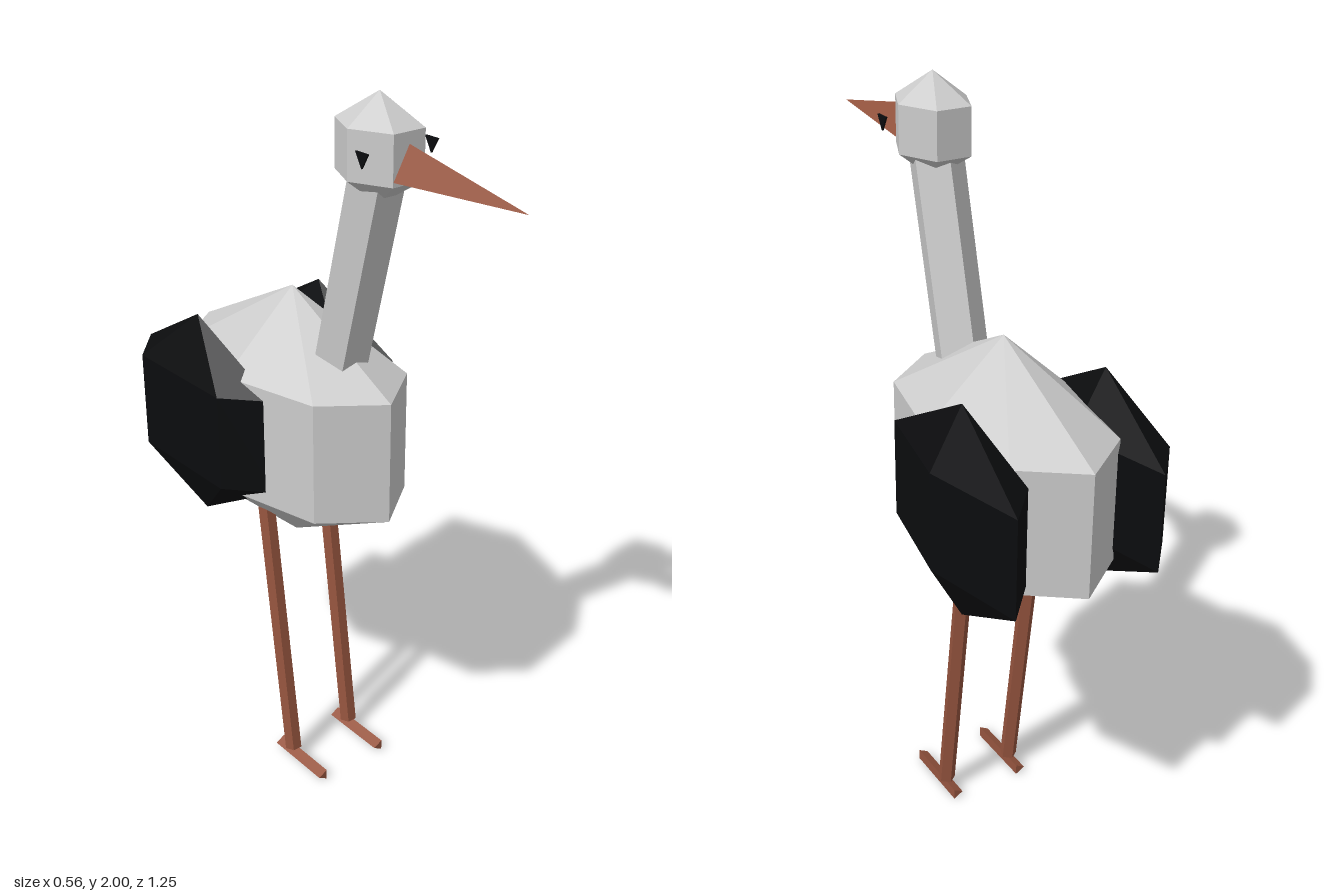
import * as THREE from 'three';

const CENTRE_X = -0.01;
const paint = (color) => new THREE.MeshStandardMaterial({ color, flatShading: true });

export function createModel() {
  const model = new THREE.Group();
  const grey = paint(0xcccccc);
  const brown = paint(0x96553f);
  const black = paint(0x0b0c0e);

  const add = (name, geometry, material) => {
    const mesh = new THREE.Mesh(geometry, material);
    mesh.name = name;
    model.add(mesh);
    return mesh;
  };

  // Coarse ball: a straight-sided band closed by a pointed cap above and below
  const ball = (name, material, sides, start, radii, centre) => {
    const profile = [[0, -1], [1, -0.457], [1, 0.457], [0, 1]].map(([r, y]) => new THREE.Vector2(r, y));
    const geometry = new THREE.LatheGeometry(profile, sides, start, Math.PI * 2);
    geometry.scale(...radii);
    add(name, geometry, material).position.set(...centre);
  };

  // Straight prism or cone between two [y, z] points at a given x
  const strut = (name, material, x, from, to, rFrom, rTo, sides, start) => {
    const dy = to[0] - from[0];
    const dz = to[1] - from[1];
    const geometry = new THREE.CylinderGeometry(rTo, rFrom, Math.hypot(dy, dz), sides, 1, false, start);
    const mesh = add(name, geometry, material);
    mesh.rotation.x = Math.atan2(dz, dy);
    mesh.position.set(x, (from[0] + to[0]) / 2, (from[1] + to[1]) / 2);
  };

  // Body, neck, head and beak
  ball('body', grey, 8, 0, [0.22, 0.367, 0.395], [CENTRE_X, 1.068, -0.195]);
  strut('neck', grey, CENTRE_X, [1.15, -0.035], [1.83, 0.14], 0.072, 0.072, 5, Math.PI);
  ball('head', grey, 6, Math.PI / 2, [0.095, 0.133, 0.12], [CENTRE_X, 1.867, 0.142]);
  strut('beak', brown, CENTRE_X, [1.848, 0.18], [1.829, 0.62], 0.063, 0, 3, Math.PI);

  for (const [side, s] of [['left', 1], ['right', -1]]) {
    // Wing
    ball(side + 'Wing', black, 5, Math.PI / 2, [0.087, 0.29, 0.3], [CENTRE_X + s * 0.202, 1.07, -0.34]);

    // Leg leaning back to the hip, and a triangular bar for the foot
    const legX = CENTRE_X + s * 0.105;
    strut(side + 'Leg', brown, legX, [0.035, -0.09], [0.88, -0.2], 0.024, 0.024, 5, Math.PI);
    strut(side + 'Foot', brown, legX, [0.018, -0.15], [0.018, 0.055], 0.018, 0.018, 3, -Math.PI / 2);

    // Small triangular eye, point down
    const eye = add(side + 'Eye', new THREE.CylinderGeometry(0.025, 0.025, 0.005, 3, 1, false, -Math.PI / 2), black);
    eye.rotation.z = Math.PI / 2;
    eye.position.set(CENTRE_X + s * 0.105, 1.877, 0.206);
  }

  return model;
}
